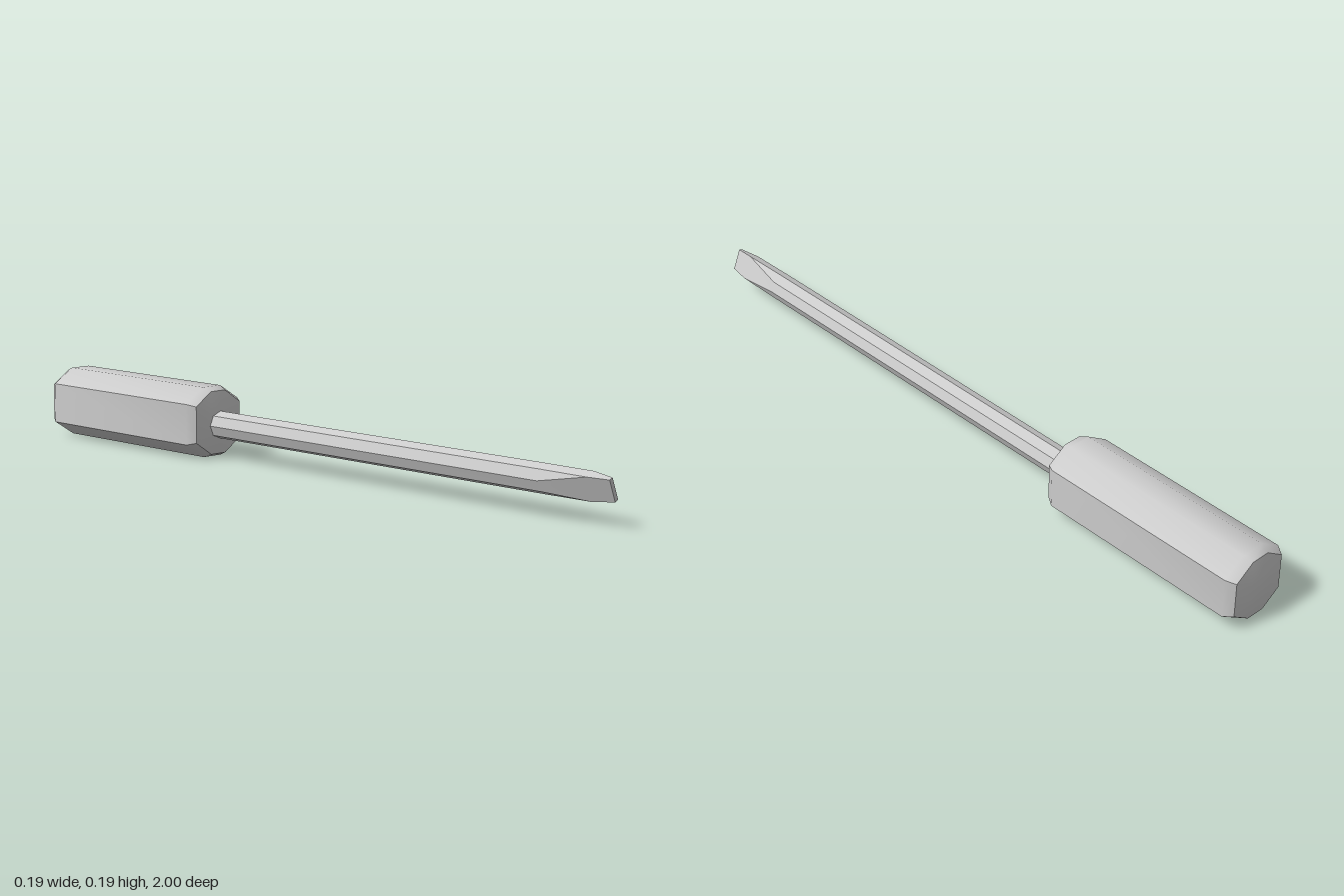
import * as THREE from 'three';
import { toCreasedNormals } from 'three/addons/utils/BufferGeometryUtils.js';

// Skin a list of { z, pts } cross-sections (counter-clockwise, z increasing) and cap both ends.
function loft(sections, crease) {
  const pos = [];
  const n = sections[0].pts.length;
  const at = (s, i) => [...s.pts[i % n], s.z];
  const centre = (s) => [
    s.pts.reduce((t, p) => t + p[0], 0) / n,
    s.pts.reduce((t, p) => t + p[1], 0) / n,
    s.z,
  ];
  const first = sections[0], last = sections[sections.length - 1];
  for (let i = 0; i < n; i++) {
    for (let k = 0; k + 1 < sections.length; k++) {
      const a = sections[k], b = sections[k + 1];
      pos.push(...at(a, i), ...at(a, i + 1), ...at(b, i + 1));
      pos.push(...at(a, i), ...at(b, i + 1), ...at(b, i));
    }
    pos.push(...centre(first), ...at(first, i + 1), ...at(first, i));
    pos.push(...centre(last), ...at(last, i), ...at(last, i + 1));
  }
  const geometry = new THREE.BufferGeometry();
  geometry.setAttribute('position', new THREE.Float32BufferAttribute(pos, 3));
  return toCreasedNormals(geometry, crease);
}

// Octagon symmetric about both axes, from its two corners in the first quadrant.
function octagon(x1, y1, x2, y2) {
  return [[x1, y1], [x2, y2], [-x2, y2], [-x1, y1], [-x1, -y1], [-x2, -y2], [x2, -y2], [x1, -y1]];
}

export function createModel() {
  const group = new THREE.Group();
  const material = new THREE.MeshStandardMaterial({ color: 0xcccccc });
  const add = (name, geometry, y) => {
    const mesh = new THREE.Mesh(geometry, material);
    mesh.name = name;
    mesh.position.y = y;
    group.add(mesh);
    return mesh;
  };

  // Handle: octagonal bar with bevelled ends and slightly domed caps
  const full = octagon(0.095, 0.056, 0.031, 0.097);
  const rim = octagon(0.08, 0.05, 0.026, 0.087);
  const crown = octagon(0.035, 0.022, 0.012, 0.038);
  add('handle', loft([
    { z: -1, pts: crown },
    { z: -0.99, pts: rim },
    { z: -0.965, pts: full },
    { z: -0.39, pts: full },
    { z: -0.365, pts: rim },
    { z: -0.355, pts: crown },
  ], 0.7), 0.098);

  // Shaft: regular octagon whose two opposite flats close in to a thin blade.
  // w is half the thickness between the flats, v half the blade width.
  const R = 0.038;
  const flat = R * Math.cos(Math.PI / 8), corner = R * Math.sin(Math.PI / 8);
  const section = (z, w, v) => ({
    z,
    pts: octagon(w, Math.min(flat + corner - w, v), Math.min(corner, w * 0.999), v),
  });
  const shaft = add('shaftAndBlade', loft([
    section(-0.4, flat, flat),
    section(0.8, flat, flat),
    section(0.94, corner, flat * 0.97),
    section(1, 0.006, 0.03),
  ], 0.5), 0.092);
  shaft.rotation.z = Math.PI / 8;

  return group;
}
